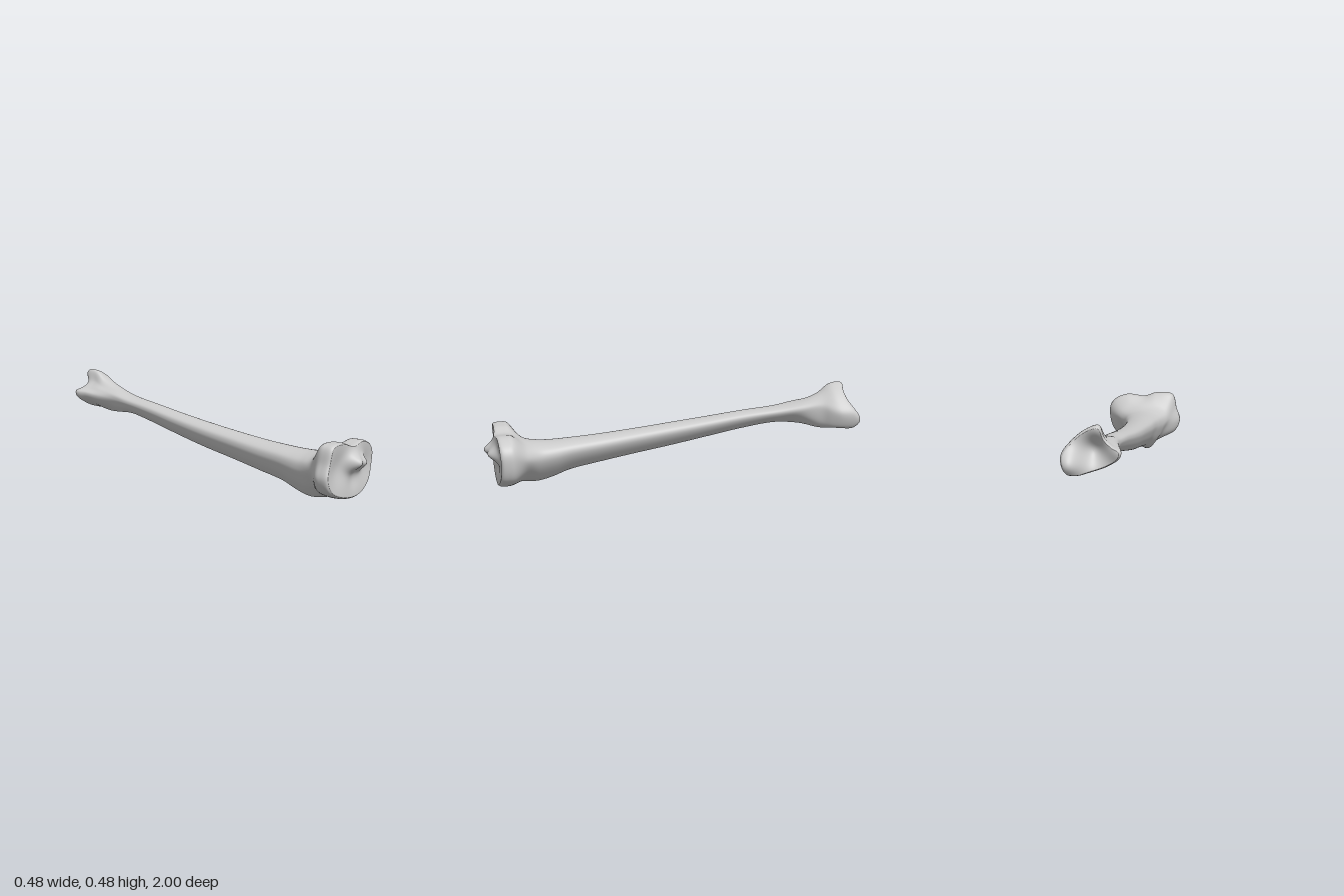
import * as THREE from 'three';

const SIDES = 96;

// Rounded-triangle shaft outline inside a unit box, counterclockwise from +x
const SHAFT = [[1, .66], [.97, .84], [.82, .95], [.55, 1], [.28, .97], [.06, .85],
  [0, .66], [.05, .45], [.16, .22], [.36, 0], [.6, .1], [.87, .4]];

// Shaft stations: z, x range, y range
const STATIONS = [
  [.79, -.175, .125, .008, .245], [.72, -.148, .085, .003, .23], [.64, -.132, .07, .022, .228],
  [.55, -.118, .058, .055, .232], [.4, -.105, .051, .085, .242], [.2, -.088, .05, .122, .262],
  [0, -.074, .055, .157, .285], [-.2, -.055, .065, .197, .31], [-.4, -.032, .08, .238, .337],
  [-.57, -.014, .103, .264, .357], [-.69, -.01, .13, .257, .382]];

// Knee-end outline and ankle-end outlines
const KNEE = [[.187, .19], [.163, .26], [.08, .296], [-.02, .285], [-.1, .308], [-.195, .3],
  [-.222, .215], [-.242, .14], [-.2, .066], [-.08, .022], [.05, .018], [.155, .08]];
const ANKLE_NECK = [[.168, .355], [.15, .392], [.11, .418], [.065, .42], [.03, .392], [0, .375],
  [-.025, .348], [-.012, .31], [.03, .275], [.08, .25], [.125, .243], [.158, .28]];
const ANKLE = [[.238, .34], [.192, .405], [.125, .458], [.062, .477], [.037, .415], [0, .381],
  [-.041, .36], [-.03, .32], [.03, .28], [.1, .256], [.17, .243], [.218, .262]];

// Bumps and hollows on the two joint faces: x, y, height along z, radius
const KNEE_RELIEF = [[-.035, .2, .055, .028], [.04, .19, .045, .026], [.0, .23, .015, .04],
  [-.135, .18, -.022, .06], [.11, .16, -.018, .06], [0, .11, -.012, .035]];
const ANKLE_RELIEF = [[.2, .3, -.07, .05], [.09, .355, .055, .045], [-.03, .355, -.022, .035],
  [.07, .46, -.012, .03]];

const relief = (list, x, y) => list.reduce((sum, [cx, cy, h, r]) =>
  sum + h * Math.exp(-((x - cx) ** 2 + (y - cy) ** 2) / (2 * r * r)), 0);

const scaled = (outline, s, z) => {
  const cx = outline.reduce((a, p) => a + p[0], 0) / outline.length;
  const cy = outline.reduce((a, p) => a + p[1], 0) / outline.length;
  return outline.map(([x, y]) => new THREE.Vector3(cx + (x - cx) * s, cy + (y - cy) * s, z));
};

// All key sections from knee rim to ankle rim
function keySections() {
  const shaft = STATIONS.map(([z, x0, x1, y0, y1]) => SHAFT.map(([u, v]) =>
    new THREE.Vector3(x0 + (x1 - x0) * u, y0 + (y1 - y0) * v, z)));
  return [
    scaled(KNEE, .94, .942), scaled(KNEE, .985, .93), scaled(KNEE, 1, .9), scaled(KNEE, .975, .865),
    ...shaft,
    scaled(ANKLE_NECK, 1, -.8), scaled(ANKLE, .95, -.87), scaled(ANKLE, 1, -.91),
    scaled(ANKLE, .98, -.925), scaled(ANKLE, .92, -.935)];
}

function boneGeometry() {
  const keys = keySections();
  const rails = SHAFT.map((_, i) => new THREE.CatmullRomCurve3(keys.map(k => k[i])));
  const rows = [];
  const CAP = 24, LENGTH = 150;

  // Knee face, body along the rails, ankle face
  for (let k = 0; k < CAP; k++) rows.push(scaled(KNEE, .94 * k / CAP, .942));
  for (let k = 0; k <= LENGTH; k++) rows.push(rails.map(r => r.getPoint(k / LENGTH)));
  for (let k = CAP - 1; k >= 0; k--) rows.push(scaled(ANKLE, .92 * k / CAP, -.935));

  const positions = [], index = [];
  rows.forEach((row, j) => {
    const ring = new THREE.CatmullRomCurve3(row, true, 'catmullrom', .5);
    for (let i = 0; i < SIDES; i++) {
      const p = ring.getPoint(i / SIDES);
      const near = THREE.MathUtils.smoothstep(Math.abs(p.z), .83, .93);
      p.z += near * relief(p.z > 0 ? KNEE_RELIEF : ANKLE_RELIEF, p.x, p.y);
      positions.push(p.x, p.y, p.z);
      if (j === rows.length - 1) continue;
      const a = j * SIDES + i, b = j * SIDES + (i + 1) % SIDES;
      if (j > 0) index.push(a, a + SIDES, b);
      else index.push(a, a + SIDES, b + SIDES);
      if (j > 0 && j < rows.length - 2) index.push(b, a + SIDES, b + SIDES);
    }
  });

  const geometry = new THREE.BufferGeometry();
  geometry.setAttribute('position', new THREE.Float32BufferAttribute(positions, 3));
  geometry.setIndex(index);
  geometry.computeVertexNormals();
  return geometry;
}

export function createModel() {
  const group = new THREE.Group();
  group.name = 'shinBone';
  const bone = new THREE.Mesh(boneGeometry(), new THREE.MeshStandardMaterial({ color: 0xcccccc }));
  bone.name = 'boneBody';
  group.add(bone);
  return group;
}
